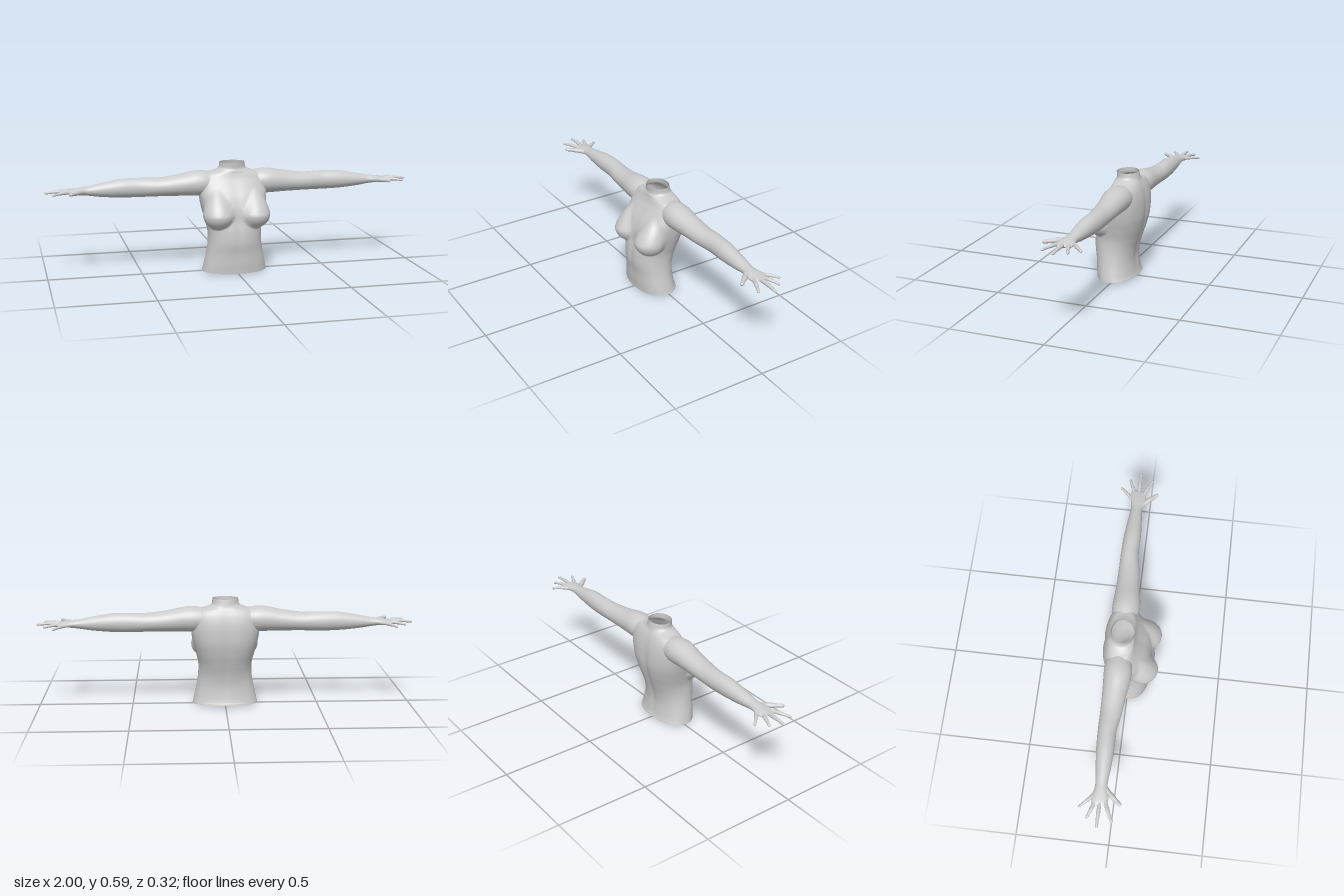
import * as THREE from 'three';

const material = new THREE.MeshStandardMaterial({ color: 0xcccccc, side: THREE.DoubleSide });

// Smooth surface through closed rings; point(t, a) gives [x, y, z] for t in 0..1
function loft(rings, sides, point, mirror = 1) {
  const pos = [], index = [];
  for (let i = 0; i <= rings; i++) {
    for (let j = 0; j < sides; j++) {
      const [x, y, z] = point(i / rings, (j / sides) * Math.PI * 2);
      pos.push(x * mirror, y, z);
      if (i === rings) continue;
      const a = i * sides + j, b = i * sides + ((j + 1) % sides), c = a + sides, d = b + sides;
      if (mirror > 0) index.push(a, b, d, a, d, c);
      else index.push(a, d, b, a, c, d);
    }
  }
  const g = new THREE.BufferGeometry();
  g.setAttribute('position', new THREE.Float32BufferAttribute(pos, 3));
  g.setIndex(index);
  g.computeVertexNormals();
  return g;
}

// Smooth interpolation through rows of numbers, t in 0..1
function spline(rows) {
  const f = new THREE.CubicInterpolant(rows.map((_, i) => i), rows.flat(), rows[0].length, new Float32Array(rows[0].length));
  return t => Array.from(f.evaluate(t * (rows.length - 1)));
}

function part(name, geometry) {
  const m = new THREE.Mesh(geometry, material);
  m.name = name;
  return m;
}

const power = (v, e) => Math.sign(v) * Math.abs(v) ** e;

function softMax(a, b, k) {
  const h = Math.max(k - Math.abs(a - b), 0) / k;
  return Math.max(a, b) + h * h * k / 4;
}

// Distance from the body axis to the far side of a bust section
function bustReach(ux, uz, y) {
  const up = y > 0.32;
  const t = Math.abs(y - 0.32) / (up ? 0.165 : 0.077);
  if (t >= 1) return 0;
  const s = up ? 1 - t ** 1.6 : Math.sqrt(1 - t * t);
  const cx = 0.098, cz = up ? 0.075 - 0.05 * t : 0.075;
  const rx = 0.083 * s, rz = 0.085 * s;
  const dx = Math.abs(ux) / rx, dz = uz / rz, ex = cx / rx, ez = cz / rz;
  const A = dx * dx + dz * dz, B = dx * ex + dz * ez, C = ex * ex + ez * ez - 1;
  const disc = B * B - A * C;
  return disc < 0 ? 0 : (B + Math.sqrt(disc)) / A;
}

// Torso rows: height, half width, front z, back z, squareness
const torsoRow = spline([
  [0.006, 0.176, 0.115, -0.100, 2.2],
  [0.05, 0.166, 0.120, -0.090, 2.2],
  [0.11, 0.153, 0.125, -0.085, 2.2],
  [0.17, 0.145, 0.134, -0.093, 2.2],
  [0.23, 0.145, 0.132, -0.110, 2.3],
  [0.29, 0.158, 0.122, -0.128, 2.4],
  [0.35, 0.173, 0.115, -0.140, 2.5],
  [0.41, 0.182, 0.094, -0.141, 2.6],
  [0.46, 0.182, 0.064, -0.136, 2.6],
  [0.50, 0.176, 0.040, -0.126, 2.5],
  [0.528, 0.150, 0.029, -0.114, 2.3],
  [0.543, 0.102, 0.026, -0.106, 2.1],
  [0.558, 0.074, 0.021, -0.101, 2],
  [0.587, 0.068, 0.022, -0.094, 2],
]);

function torsoPoint(t, a) {
  const [y, w, front, back, n] = torsoRow(t);
  let x = w * power(Math.sin(a), 2 / n);
  let z = (front + back) / 2 + (front - back) / 2 * power(Math.cos(a), 2 / n);
  const r = Math.hypot(x, z);
  const grown = z > -0.03 ? softMax(r, bustReach(x / r, z / r, y), 0.012) / r : 1;
  x *= grown;
  z *= grown;
  // Shallow grooves along the spine and the belly
  const groove = Math.exp(-((x / 0.022) ** 2)) * Math.sin(Math.PI * Math.min(1, y / 0.56));
  z += Math.cos(a) < 0 ? 0.008 * groove : -0.004 * groove;
  // Hem dips a little at the front
  return [x, y - (t < 0.02 ? 0.004 * Math.cos(a) : 0), z];
}

// Arm and palm rows: x, centre y, half height, centre z, half depth
const armRow = spline([
  [0.12, 0.478, 0.060, -0.045, 0.066],
  [0.17, 0.477, 0.068, -0.043, 0.073],
  [0.22, 0.476, 0.066, -0.043, 0.071],
  [0.30, 0.469, 0.057, -0.047, 0.063],
  [0.40, 0.463, 0.050, -0.052, 0.056],
  [0.50, 0.463, 0.051, -0.060, 0.048],
  [0.60, 0.463, 0.049, -0.058, 0.046],
  [0.70, 0.459, 0.037, -0.056, 0.038],
  [0.77, 0.457, 0.025, -0.055, 0.031],
  [0.81, 0.457, 0.020, -0.053, 0.036],
  [0.845, 0.456, 0.016, -0.054, 0.044],
  [0.875, 0.455, 0.011, -0.056, 0.039],
  [0.89, 0.455, 0.001, -0.056, 0.026],
]);

function armPoint(t, a) {
  const [x, cy, ry, cz, rz] = armRow(t);
  return [x, cy + ry * Math.cos(a), cz + rz * Math.sin(a)];
}

// Fingers: name, root radius, then root, knuckle and tip
const fingers = [
  ['thumb', 0.016, [0.79, 0.455, -0.040], [0.835, 0.459, 0.008], [0.876, 0.460, 0.056]],
  ['indexFinger', 0.012, [0.85, 0.456, -0.030], [0.905, 0.459, -0.008], [0.965, 0.454, 0.020]],
  ['middleFinger', 0.012, [0.85, 0.456, -0.051], [0.925, 0.460, -0.053], [1.0, 0.454, -0.053]],
  ['ringFinger', 0.0115, [0.85, 0.455, -0.070], [0.905, 0.457, -0.090], [0.957, 0.450, -0.111]],
  ['littleFinger', 0.011, [0.825, 0.454, -0.080], [0.868, 0.453, -0.119], [0.903, 0.446, -0.156]],
];

function fingerGeometry(radius, points, side) {
  const curve = new THREE.CatmullRomCurve3(points.map(p => new THREE.Vector3(...p)));
  return loft(24, 14, (t, a) => {
    const p = curve.getPoint(t), d = curve.getTangent(t);
    const cap = t > 0.88 ? Math.sqrt(Math.max(0, 1 - ((t - 0.88) / 0.12) ** 2)) : 1;
    const knuckle = 1 + 0.08 * Math.cos(t * Math.PI * 4);
    const r = radius * (1 - 0.4 * t) * cap * knuckle;
    const c = r * Math.cos(a) * 0.9, s = r * Math.sin(a), h = Math.hypot(d.x, d.z);
    return [p.x - s * d.z / h, p.y + c, p.z + s * d.x / h];
  }, side);
}

export function createModel() {
  const model = new THREE.Group();
  model.name = 'upperBody';
  model.add(part('torso', loft(110, 112, torsoPoint)));

  for (const [label, side] of [['left', 1], ['right', -1]]) {
    const arm = new THREE.Group();
    arm.name = label + 'Arm';
    arm.add(part('armAndPalm', loft(96, 40, armPoint, side)));
    for (const [name, radius, ...points] of fingers) {
      arm.add(part(name, fingerGeometry(radius, points, side)));
    }
    model.add(arm);
  }
  return model;
}
